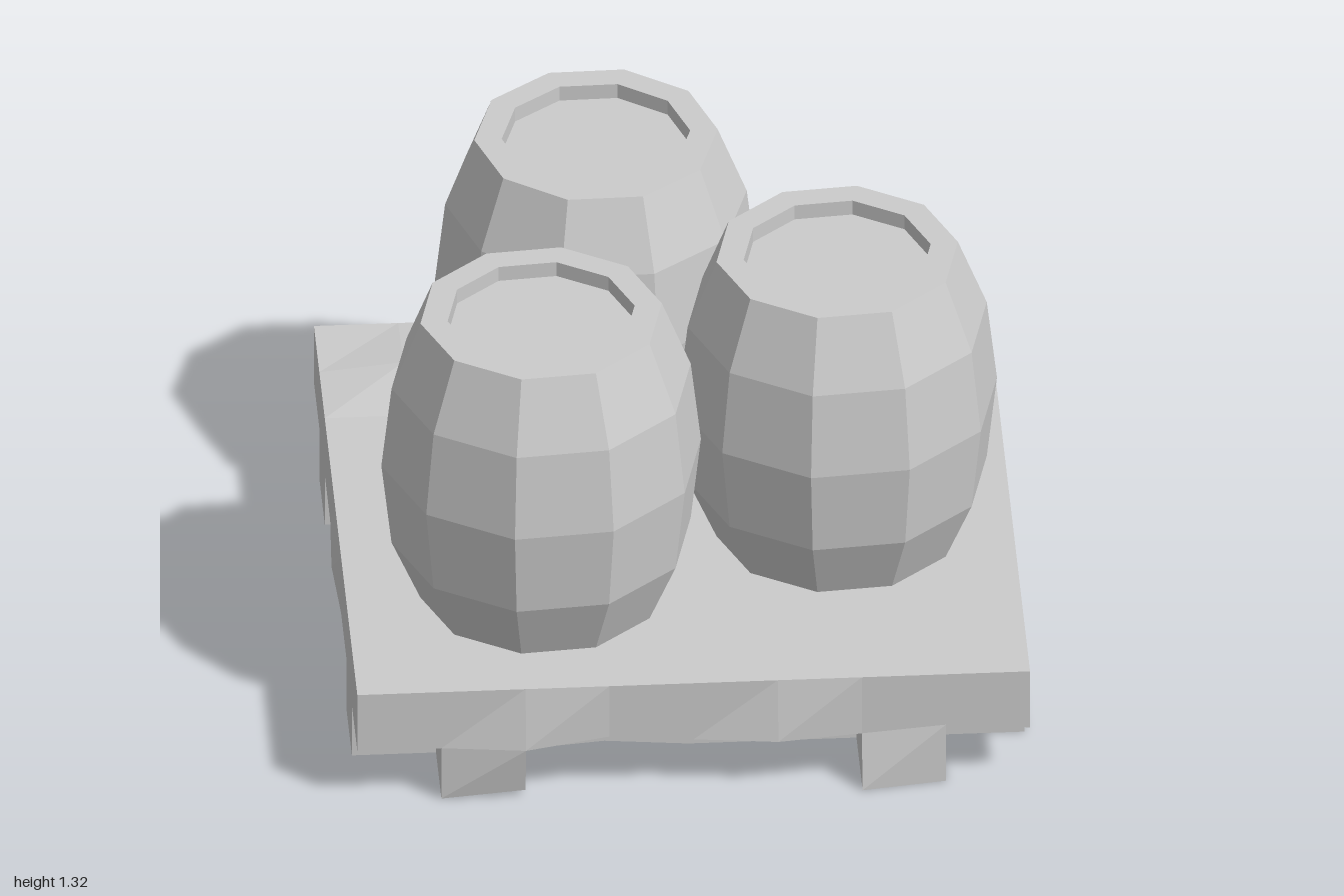
import * as THREE from 'three';

const CELL = 0.245, ZC = -0.02, DECK_BOTTOM = 0.175, DECK_TOP = 0.37;

// Warped timber: [x, y, z] of a grid corner, then its offset [dx, dy, dz]
const DENTS = [
  [[0.49, DECK_TOP, -0.51], [0, 0.04, 0]],
  [[-0.735, DECK_TOP, -0.755], [0, 0.025, 0]],
  [[0.735, DECK_TOP, -0.51], [0, 0.012, 0]],
  [[-0.49, DECK_BOTTOM, 0.96], [0, 0, 0.03]],
  [[0.245, DECK_BOTTOM, 0.96], [0, 0, 0.03]],
  [[-0.245, DECK_BOTTOM, 0.96], [0, 0.02, 0]],
  [[0.735, DECK_BOTTOM, 0.96], [0, 0.02, 0]],
  [[-0.98, DECK_BOTTOM, -0.02], [-0.012, 0, 0]],
  [[0.49, 0, 0.96], [0, 0, 0.035]],
  [[-0.245, 0, 0.715], [0, 0.02, 0]],
  [[-0.49, 0, 0.96], [0, 0.02, 0]],
];

function warp(geometry) {
  const pos = geometry.attributes.position;
  for (let i = 0; i < pos.count; i++) {
    const p = new THREE.Vector3().fromBufferAttribute(pos, i);
    for (const [at, by] of DENTS) {
      if (p.distanceTo(new THREE.Vector3(...at)) < 0.02) {
        pos.setXYZ(i, p.x + by[0], p.y + by[1], p.z + by[2]);
        break;
      }
    }
  }
  geometry.computeVertexNormals();
  return geometry;
}

// Timber block spanning whole grid cells, from cell (i, k) and nx by nz cells in size
function timber(name, material, i, k, nx, nz, y0, y1) {
  const g = new THREE.BoxGeometry(nx * CELL, y1 - y0, nz * CELL, nx, 1, nz);
  g.translate((i + nx / 2 - 4) * CELL, (y0 + y1) / 2, ZC + (k + nz / 2 - 4) * CELL);
  const mesh = new THREE.Mesh(warp(g), material);
  mesh.name = name;
  return mesh;
}

export function createModel() {
  const model = new THREE.Group();
  model.name = 'barrelsOnPallet';
  const material = new THREE.MeshStandardMaterial({ color: 0xcccccc, flatShading: true });

  // Pallet: deck over two pairs of crossing runners
  const pallet = new THREE.Group();
  pallet.name = 'pallet';
  pallet.add(timber('deck', material, 0, 0, 8, 8, DECK_BOTTOM, DECK_TOP));
  for (const c of [1, 6]) {
    pallet.add(timber('lengthRunner', material, c, 0, 1, 8, 0, DECK_BOTTOM));
    // cross runners are cut where the length runners pass
    for (const [start, length] of [[0, 1], [2, 4], [7, 1]]) {
      pallet.add(timber('crossRunner', material, start, c, length, 1, 0, DECK_BOTTOM));
    }
  }
  model.add(pallet);

  // Ten-sided barrels with a recessed lid
  const profile = [
    [0, 0], [0.355, 0], [0.44, 0.2], [0.47, 0.47], [0.44, 0.735],
    [0.355, 0.953], [0.275, 0.953], [0.275, 0.905], [0, 0.905],
  ].map(([r, y]) => new THREE.Vector2(r, y));
  const barrelGeometry = new THREE.LatheGeometry(profile, 10);
  for (const [x, z, turn] of [[-0.41, 0.425, 23], [0.47, 0.155, 23], [-0.19, -0.51, 19]]) {
    const barrel = new THREE.Mesh(barrelGeometry, material);
    barrel.name = 'barrel';
    barrel.position.set(x, DECK_TOP, z);
    barrel.rotation.y = THREE.MathUtils.degToRad(turn);
    model.add(barrel);
  }
  return model;
}
